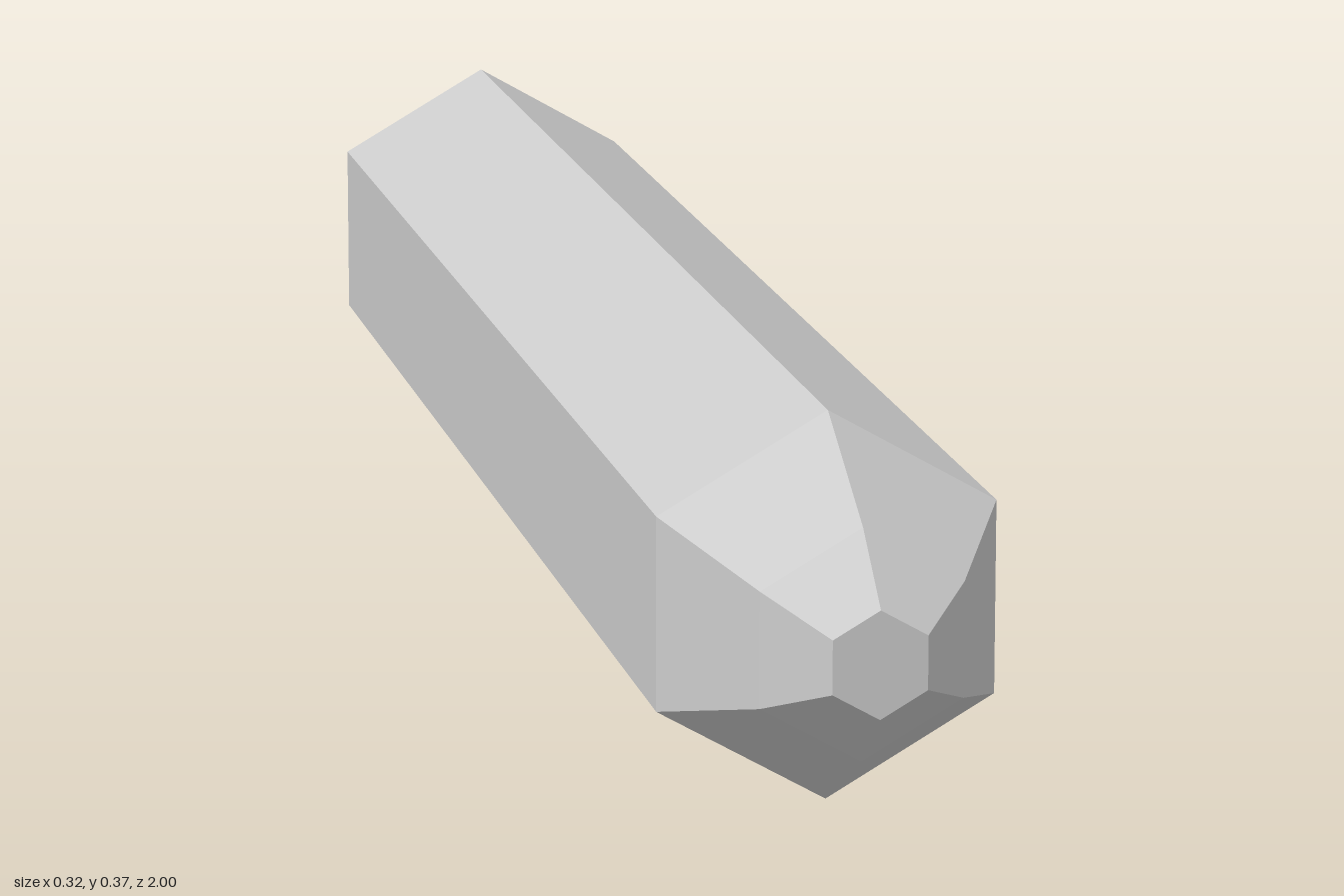
import * as THREE from 'three';

const SIDES = 6;
const CENTRE_Y = 0.183;

// Hexagonal section along z from a profile of [radius, z], back to front
function hexPart(name, profile, material) {
  const points = profile.map(([r, z]) => new THREE.Vector2(r, z));
  const geometry = new THREE.LatheGeometry(points, SIDES);
  geometry.rotateX(Math.PI / 2);
  const mesh = new THREE.Mesh(geometry, material);
  mesh.name = name;
  mesh.position.y = CENTRE_Y;
  return mesh;
}

export function createModel() {
  const grey = new THREE.MeshStandardMaterial({ color: 0xcccccc });
  grey.name = 'light grey';
  grey.flatShading = true;

  const model = new THREE.Group();
  model.name = 'hexagonalRod';

  // Straight shaft with a flat back end
  model.add(hexPart('shaft', [[0, -1], [0.183, -1], [0.183, 0.79]], grey));

  // Two-step tapered nose with a small flat tip
  model.add(hexPart('nose', [[0.183, 0.79], [0.108, 0.93], [0.05, 1], [0, 1]], grey));

  return model;
}
